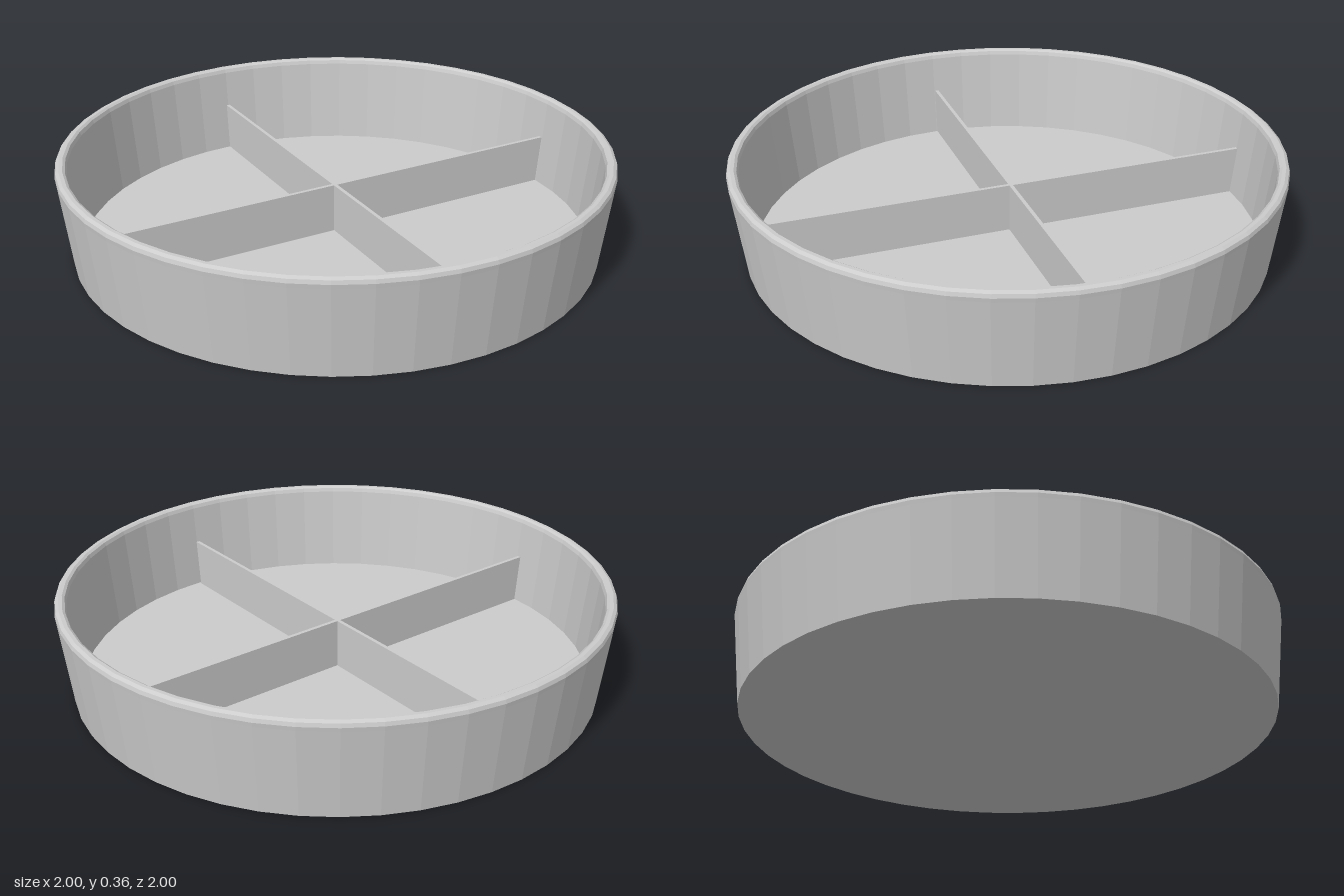
import * as THREE from 'three';

export function createModel() {
  const group = new THREE.Group();
  const material = new THREE.MeshStandardMaterial({ color: 0xcccccc, flatShading: true });

  // Tapered round tray: underside, drafted outer wall, eased lip, inner wall, floor
  const floorY = 0.017;
  const profile = [
    [0, 0], [0.96, 0], [0.998, 0.325], [1, 0.34], [0.996, 0.353], [0.985, 0.36],
    [0.972, 0.36], [0.963, 0.354], [0.958, 0.34], [0.926, floorY], [0, floorY],
  ].map(([r, y]) => new THREE.Vector2(r, y));
  const tray = new THREE.Mesh(new THREE.LatheGeometry(profile, 48), material);
  tray.name = 'tray';
  group.add(tray);

  // Two crossed dividers whose ends follow the slope of the inner wall
  const thickness = 0.014;
  const outline = new THREE.Shape([
    new THREE.Vector2(-0.926, floorY), new THREE.Vector2(0.926, floorY),
    new THREE.Vector2(0.945, 0.2), new THREE.Vector2(-0.945, 0.2),
  ]);
  const panel = new THREE.ExtrudeGeometry(outline, { depth: thickness, bevelEnabled: false });
  panel.translate(0, 0, -thickness / 2);
  ['crossDivider', 'lengthDivider'].forEach((name, i) => {
    const divider = new THREE.Mesh(panel, material);
    divider.name = name;
    divider.rotation.y = i * Math.PI / 2;
    divider.position.z = -0.01;
    group.add(divider);
  });

  return group;
}
